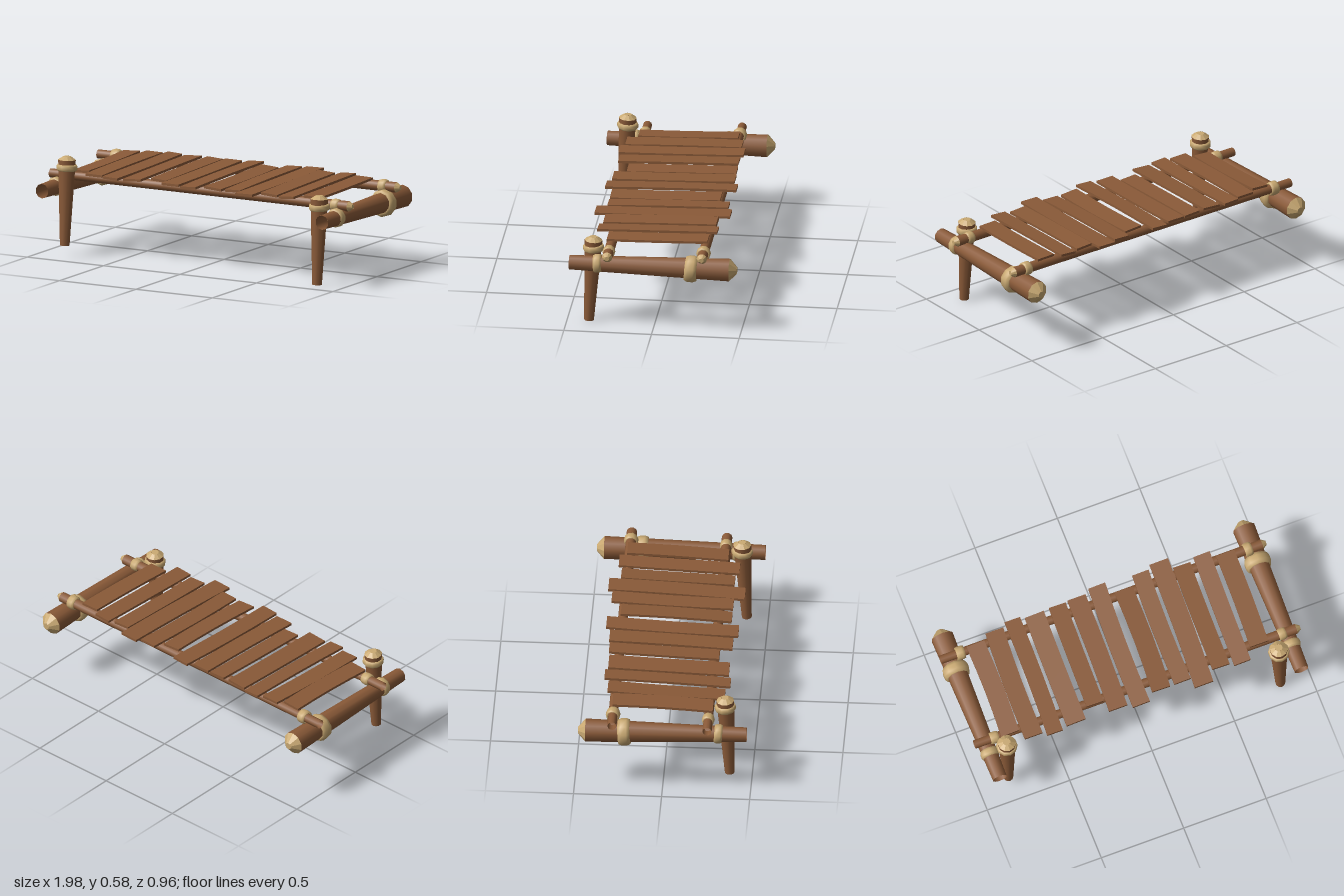
import * as THREE from 'three';

const V = (x, y, z) => new THREE.Vector3(x, y, z);
const UP = V(0, 1, 0);

export function createModel() {
  const wood = new THREE.MeshStandardMaterial({ color: 0x8a5a38, side: THREE.DoubleSide });
  wood.name = 'brown wood';
  const pale = new THREE.MeshStandardMaterial({ color: 0xc9a972, side: THREE.DoubleSide });
  pale.name = 'pale rope and cut wood';
  const model = new THREE.Group();
  model.name = 'woodenCot';

  const add = (parent, name, geometry, material) => {
    const mesh = new THREE.Mesh(geometry, material);
    mesh.name = name;
    parent.add(mesh);
    return mesh;
  };

  // Tapered log, open at its start, with a pale faceted cut at its end
  function log(name, from, to, r0, r1, cap, tipRadius) {
    const group = new THREE.Group();
    group.name = name;
    const length = from.distanceTo(to);
    const body = new THREE.CylinderGeometry(r1, r0, length - cap, 10, 1, true);
    body.translate(0, (length - cap) / 2, 0);
    add(group, name + 'Trunk', body, wood);
    const end = new THREE.CylinderGeometry(tipRadius, r1, cap, 10, 1, true).toNonIndexed();
    end.translate(0, length - cap / 2, 0);
    end.computeVertexNormals();
    add(group, name + 'CutEnd', end, pale);
    const face = new THREE.CircleGeometry(tipRadius, 10).rotateX(-Math.PI / 2);
    face.translate(0, length, 0);
    add(group, name + 'CutFace', face, pale);
    group.position.copy(from);
    group.quaternion.setFromUnitVectors(UP, to.clone().sub(from).normalize());
    model.add(group);
  }

  // Bulging rope band around an axis
  function band(name, center, axis, r, width) {
    const h = width / 2;
    const points = [[r * 0.72, -h], [r * 0.9, -h], [r, -h * 0.45], [r, h * 0.45], [r * 0.9, h], [r * 0.72, h]]
      .map(([x, y]) => new THREE.Vector2(x, y));
    const mesh = add(model, name, new THREE.LatheGeometry(points, 10), pale);
    mesh.position.copy(center);
    mesh.quaternion.setFromUnitVectors(UP, axis.clone().normalize());
  }

  for (const s of [-1, 1]) {
    const side = s > 0 ? 'left' : 'right';
    const x = 0.915 * s;
    // Side beam resting on the ground at neither end, thicker at the back
    log(side + 'Beam', V(x, 0.386, 0.478), V(x, 0.382, -0.478), 0.042, 0.066, 0.042, 0.02);
    band(side + 'BeamFrontRope', V(x, 0.387, 0.317), V(0, -0.06, 1), 0.055, 0.046);
    band(side + 'BeamBackRope', V(x, 0.379, -0.217), V(0, 0.07, 1), 0.078, 0.068);
    // Leg, the right one set higher
    const lift = s > 0 ? 0 : 0.063;
    log(side + 'Leg', V(0.825 * s, 0.002 + lift, 0.377), V(0.825 * s, 0.512 + lift, 0.35), 0.028, 0.051, 0.02, 0.022);
    band(side + 'LegRope', V(0.825 * s, 0.447 + lift, 0.351), V(0, 1, 0.06 * s), 0.061, 0.036);
  }

  // Rails carrying the planks
  const rails = [['frontRail', 0.447, 0.257, 0.036], ['backRail', 0.463, -0.283, 0.041]];
  for (const [name, y, z, r] of rails) {
    log(name, V(-0.985, y, z), V(0.99, y, z), 0.026, 0.03, 0.025, 0.013);
    band(name + 'RightRope', V(-0.865, y, z), V(1, 0, 0.05), r, 0.05);
    band(name + 'LeftRope', V(0.88, y, z), V(1, 0, -0.05), r, 0.046);
  }

  // Planks: x at back, x at front, width, back z, front z
  const planks = [
    [-0.77, -0.777, 0.107, -0.29, 0.28], [-0.641, -0.657, 0.107, -0.325, 0.34],
    [-0.523, -0.537, 0.094, -0.35, 0.365], [-0.395, -0.403, 0.115, -0.335, 0.35],
    [-0.254, -0.264, 0.102, -0.34, 0.285], [-0.136, -0.15, 0.11, -0.345, 0.355],
    [-0.003, -0.019, 0.102, -0.37, 0.38], [0.131, 0.118, 0.11, -0.295, 0.335],
    [0.256, 0.248, 0.099, -0.355, 0.335], [0.377, 0.355, 0.112, -0.38, 0.395],
    [0.491, 0.483, 0.104, -0.315, 0.33], [0.619, 0.606, 0.099, -0.335, 0.35],
    [0.747, 0.734, 0.11, -0.295, 0.28],
  ];
  planks.forEach(([xBack, xFront, width, zBack, zFront], i) => {
    const geometry = new THREE.BoxGeometry(width, 0.014, 1, 1, 1, 4);
    const p = geometry.attributes.position;
    const roll = 0.07 * Math.sin(i * 2.3 + 1);
    const bow = 0.008 * Math.cos(i * 2.7);
    for (let k = 0; k < p.count; k++) {
      const t = p.getZ(k) + 0.5;
      const dx = p.getX(k);
      const z = zBack + (zFront - zBack) * t;
      p.setXYZ(k, dx + xBack + (xFront - xBack) * t + bow * Math.sin(Math.PI * t),
        p.getY(k) + 0.488 - 0.03 * z + dx * roll, z);
    }
    geometry.computeVertexNormals();
    add(model, 'plank' + (i + 1), geometry, wood);
  });

  return model;
}
